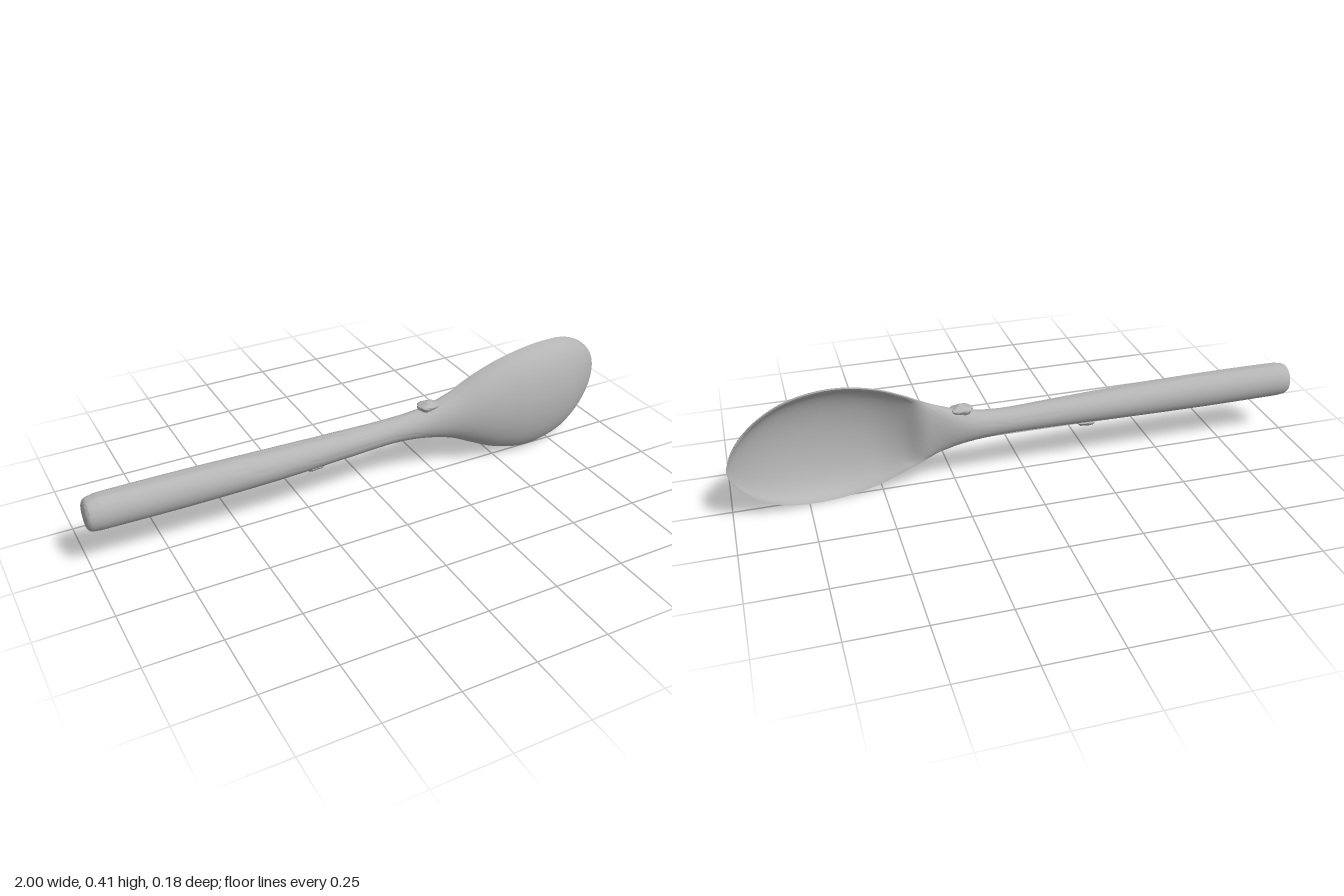
import * as THREE from 'three';
import { toCreasedNormals } from 'three/addons/utils/BufferGeometryUtils.js';

// Outline stations along the spoon: x, top y, bottom y
const OUTLINE = [
  [-1, 0.25, 0.17], [-0.992, 0.264, 0.158], [-0.97, 0.271, 0.153], [-0.92, 0.275, 0.151],
  [-0.65, 0.274, 0.149], [-0.35, 0.266, 0.153], [-0.1, 0.258, 0.16], [0.08, 0.254, 0.162],
  [0.2, 0.265, 0.15], [0.3, 0.297, 0.124], [0.36, 0.325, 0.097], [0.42, 0.354, 0.068],
  [0.5, 0.384, 0.033], [0.6, 0.405, 0.007], [0.7, 0.409, 0.002], [0.8, 0.395, 0.017],
  [0.88, 0.362, 0.051], [0.94, 0.318, 0.095], [0.98, 0.268, 0.143], [1, 0.215, 0.195],
];
// Depths at the same stations: rim z, front z, back z
const DEPTH = [
  [0, 0.036, -0.038], [0, 0.046, -0.048], [0, 0.05, -0.053], [0, 0.052, -0.055],
  [0, 0.054, -0.055], [-0.002, 0.052, -0.055], [-0.007, 0.038, -0.055], [-0.013, 0.027, -0.055],
  [-0.012, 0.031, -0.052], [-0.015, 0.044, -0.036], [-0.018, 0.057, -0.022], [-0.015, 0.071, 0.022],
  [-0.011, 0.082, 0.055], [-0.012, 0.086, 0.064], [-0.022, 0.076, 0.054], [-0.041, 0.051, 0.029],
  [-0.059, 0.014, -0.006], [-0.073, -0.025, -0.042], [-0.083, -0.06, -0.071], [-0.089, -0.085, -0.088],
];

const curveOf = (rows) =>
  new THREE.CatmullRomCurve3(rows.map((r) => new THREE.Vector3(...r)), false, 'catmullrom', 0.5);

// One closed skin: convex front half, and a back half that turns from round grip to hollow bowl
function spoonGeometry() {
  const outline = curveOf(OUTLINE);
  const depth = curveOf(DEPTH);
  const rings = (OUTLINE.length - 1) * 4;
  const half = 18;
  const around = half * 2 + 1;
  const positions = [];
  const index = [];

  for (let i = 0; i <= rings; i++) {
    const o = outline.getPoint(i / rings);
    const d = depth.getPoint(i / rings);
    const middle = (o.y + o.z) / 2;
    const h = (o.y - o.z) / 2;
    // the hollow sits slightly inside the rim
    const inset = THREE.MathUtils.smoothstep(o.x, 0.28, 0.45) * Math.min(0.01, h * 0.2);
    for (let j = 0; j < around; j++) {
      const front = j <= half;
      const angle = (front ? j : j - 0.5) * Math.PI / half;
      const reach = front ? d.y - d.x : d.z - d.x;
      positions.push(
        o.x,
        middle + (front ? h : h - inset) * Math.cos(angle),
        d.x + reach * Math.abs(Math.sin(angle)),
      );
    }
  }
  for (let i = 0; i < rings; i++) {
    for (let j = 0; j < around; j++) {
      const k = (j + 1) % around;
      const a = i * around + j, d = i * around + k;
      const b = a + around, c = d + around;
      index.push(a, d, c, a, c, b);
    }
  }
  // End caps
  const start = positions.length / 3;
  positions.push(-1, 0.21, 0, 1, 0.205, -0.088);
  for (let j = 0; j < around; j++) {
    const k = (j + 1) % around;
    index.push(start, k, j);
    index.push(start + 1, rings * around + j, rings * around + k);
  }
  const geometry = new THREE.BufferGeometry();
  geometry.setAttribute('position', new THREE.Float32BufferAttribute(positions, 3));
  geometry.setIndex(index);
  return toCreasedNormals(geometry, 0.7);
}

// Small lumpy nub
function nubGeometry(sx, sy, sz) {
  const geometry = new THREE.IcosahedronGeometry(1, 2);
  const p = geometry.attributes.position;
  const v = new THREE.Vector3();
  for (let i = 0; i < p.count; i++) {
    v.fromBufferAttribute(p, i);
    const lump = 1 + 0.13 * Math.sin(5 * v.x + 1) * Math.cos(4 * v.z) + 0.06 * Math.sin(7 * v.y);
    v.multiplyScalar(lump);
    p.setXYZ(i, v.x * sx, v.y * sy, v.z * sz);
  }
  return toCreasedNormals(geometry, 0.6);
}

export function createModel() {
  const group = new THREE.Group();
  group.name = 'spoon';
  const grey = new THREE.MeshStandardMaterial({ color: 0xb4b4b4 });
  grey.name = 'plain grey';

  const add = (name, geometry, x = 0, y = 0, z = 0) => {
    const mesh = new THREE.Mesh(geometry, grey);
    mesh.name = name;
    mesh.position.set(x, y, z);
    group.add(mesh);
  };
  add('handleAndBowl', spoonGeometry());
  add('upperNub', nubGeometry(0.038, 0.018, 0.03), 0.222, 0.272, -0.01);
  add('lowerNub', nubGeometry(0.038, 0.014, 0.03), -0.222, 0.16, -0.008);
  return group;
}
